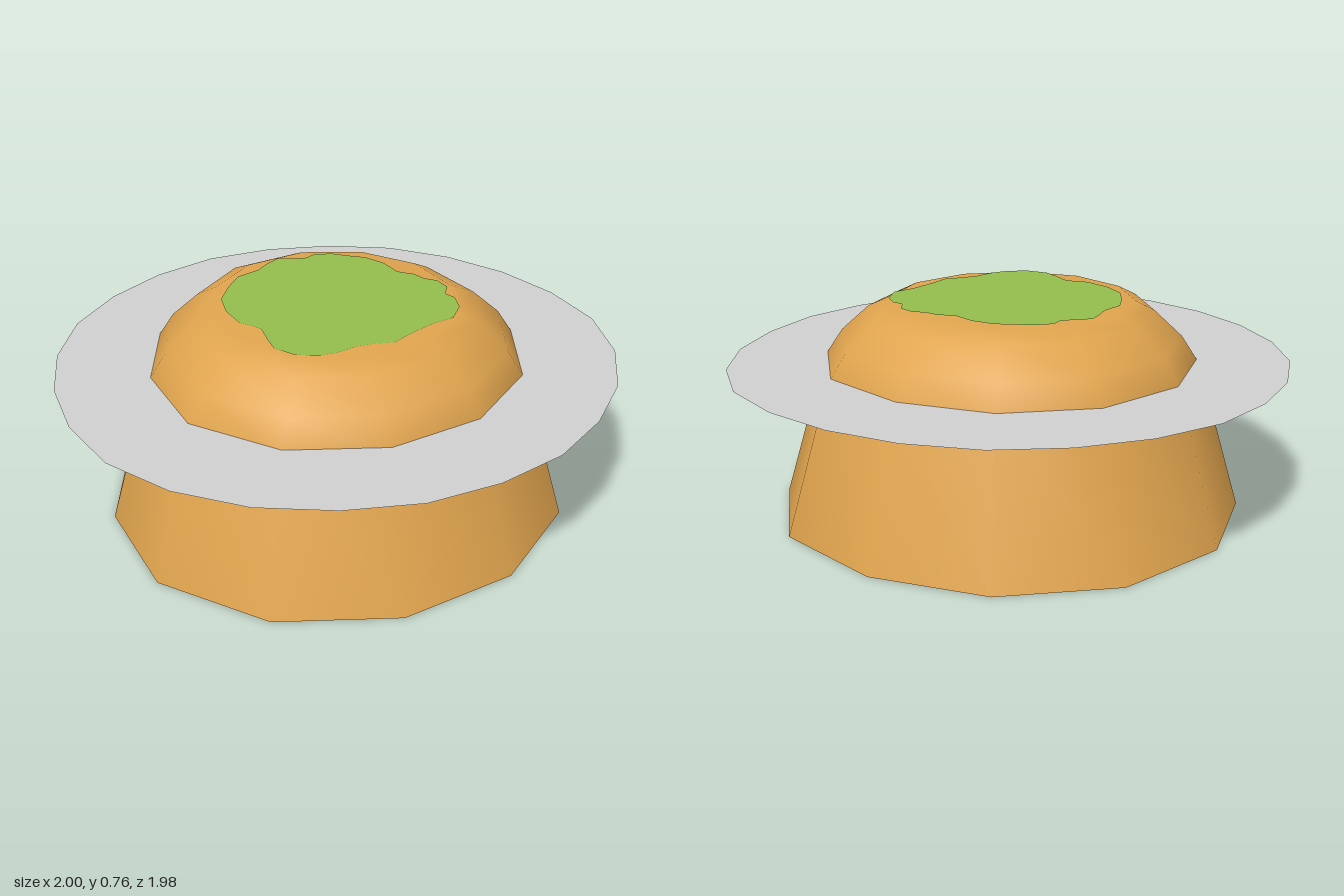
import * as THREE from 'three';

// Point at an angle measured from the front (+z)
const polar = (r, a, y) => [Math.sin(a) * r, y, Math.cos(a) * r];

// Joins closed rings of points (listed bottom/outside first) into a skin, optionally capped
function loft(rings, cap) {
  const n = rings[0].length, index = [];
  for (let j = 0; j < rings.length - 1; j++)
    for (let i = 0; i < n; i++) {
      const a = j * n + i, b = j * n + (i + 1) % n;
      index.push(a, b, a + n, b, b + n, a + n);
    }
  const points = rings.flat();
  if (cap) {
    const last = (rings.length - 1) * n, centre = points.length;
    points.push([0, rings.at(-1)[0][1], 0]);
    for (let i = 0; i < n; i++) index.push(last + i, last + (i + 1) % n, centre);
  }
  const g = new THREE.BufferGeometry();
  g.setAttribute('position', new THREE.Float32BufferAttribute(points.flat(), 3));
  g.setIndex(index);
  g.computeVertexNormals();
  return g;
}

export function createModel() {
  const group = new THREE.Group();
  const material = (name, color) =>
    new THREE.MeshStandardMaterial({ name, color, side: THREE.DoubleSide });
  const add = (name, geometry, mat) => {
    const mesh = new THREE.Mesh(geometry, mat);
    mesh.name = name;
    group.add(mesh);
  };

  // Twelve-sided hill, open underneath, slightly uneven and mirrored left to right
  const uneven = [0.985, 1.0, 1.01, 0.975, 0.975, 0.99];
  const profile = [[0.85, 0], [0.69, 0.53], [0.62, 0.635], [0.52, 0.725], [0.435, 0.762]];
  const hill = profile.map(([r, y], j) => Array.from({ length: 12 }, (_, i) => {
    const wobble = j === 4 ? 1 : uneven[Math.min(i, 11 - i)];
    return polar(r * wobble, Math.PI / 12 + i * Math.PI / 6, y);
  }));
  add('hill', loft(hill, true), material('ochre', 0xe0a44e));

  // Flat ring around the hill
  const radii = [0.985, 0.99, 0.99, 1.003, 1.013, 1.016, 1, 0.99, 0.988, 0.99, 0.984, 0.985, 0.99];
  const ring = [1, 0.575].map((s) => Array.from({ length: 24 }, (_, i) =>
    polar(radii[Math.min(i, 24 - i)] * s, i * Math.PI / 12, 0.55)));
  add('ring', loft(ring, false), material('grey', 0xd0d0d0));

  // Ragged grass patch on the summit, as x, z pairs
  const edge = [
    [0, -0.41], [0.05, -0.38], [0.1, -0.36], [0.14, -0.375], [0.2, -0.345], [0.25, -0.29],
    [0.29, -0.25], [0.32, -0.17], [0.32, -0.08], [0.36, -0.03], [0.37, 0.02], [0.4, 0.06],
    [0.4, 0.12], [0.36, 0.17], [0.37, 0.21], [0.34, 0.28], [0.27, 0.34], [0.19, 0.34],
    [0.12, 0.355], [0.06, 0.37], [0, 0.39], [-0.06, 0.365], [-0.12, 0.35], [-0.2, 0.355],
    [-0.27, 0.34], [-0.33, 0.29], [-0.36, 0.22], [-0.35, 0.16], [-0.33, 0.08], [-0.34, 0.05],
    [-0.37, 0], [-0.37, -0.1], [-0.34, -0.2], [-0.27, -0.28], [-0.2, -0.34], [-0.11, -0.355],
    [-0.05, -0.39],
  ].map(([x, z]) => new THREE.Vector2(x, -z));
  const patch = new THREE.ShapeGeometry(new THREE.Shape(edge));
  patch.rotateX(-Math.PI / 2).translate(0, 0.765, 0);
  add('grassPatch', patch, material('grass green', 0x94be4e));

  return group;
}
